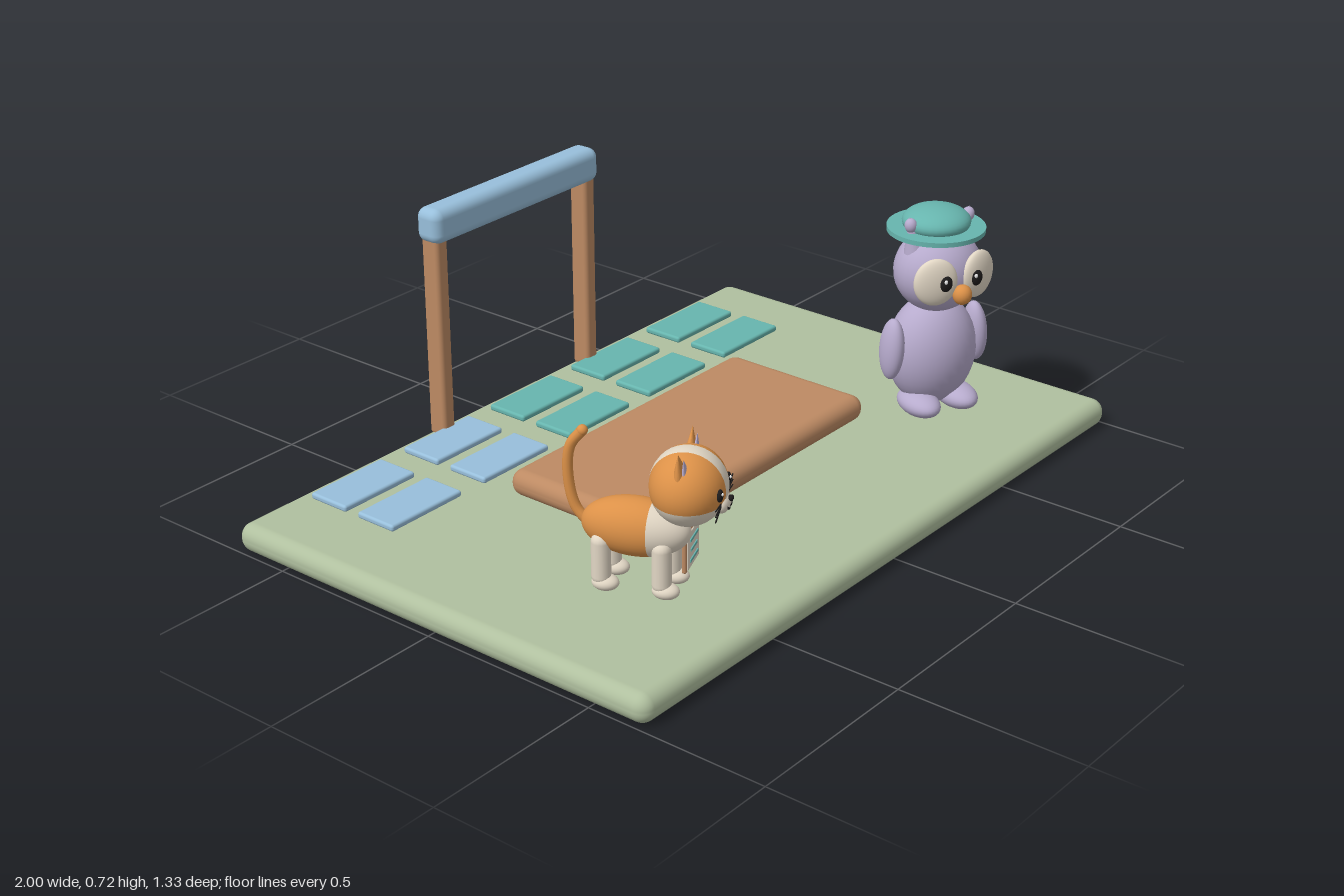
import * as THREE from 'three';
import { RoundedBoxGeometry } from 'three/addons/geometries/RoundedBoxGeometry.js';

const mat = (name, color) => {
  const m = new THREE.MeshStandardMaterial({ color });
  m.name = name;
  return m;
};

export function createModel() {
  const sage = mat('sage', 0xb0c09f), wood = mat('wood', 0xbd8a63), blue = mat('blue', 0x98bfdb),
    teal = mat('teal', 0x67b5ae), lavender = mat('lavender', 0xb7abcd), cream = mat('cream', 0xe2d7c5),
    orange = mat('orange', 0xdc9148), black = mat('black', 0x1e1c1c), white = mat('white', 0xffffff);
  const model = new THREE.Group();
  model.name = 'playStage';

  const add = (parent, name, geo, material, x, y, z) => {
    const mesh = new THREE.Mesh(geo, material);
    mesh.name = name;
    mesh.position.set(x, y, z);
    parent.add(mesh);
    return mesh;
  };
  const box = (parent, name, material, [w, h, d], r, x, y, z) =>
    add(parent, name, new RoundedBoxGeometry(w, h, d, 4, r), material, x, y, z);
  const ball = (parent, name, material, [rx, ry, rz], x, y, z) =>
    add(parent, name, new THREE.SphereGeometry(1, 32, 20).scale(rx, ry, rz), material, x, y, z);
  // Slice of an ellipsoid between two polar angles, in degrees, along a chosen axis
  const slice = (parent, name, material, [rx, ry, rz], from, to, axis, x, y, z) => {
    const rad = Math.PI / 180;
    const geo = new THREE.SphereGeometry(1, 36, 16, 0, Math.PI * 2, from * rad, (to - from) * rad);
    if (axis === 'z') geo.rotateX(Math.PI / 2);
    if (axis === 'x') geo.rotateZ(-Math.PI / 2);
    return add(parent, name, geo.scale(rx, ry, rz), material, x, y, z);
  };

  // Ground, platform and gate
  box(model, 'base', sage, [2, 0.078, 1.33], 0.036, 0, 0.039, 0);
  box(model, 'platform', wood, [0.935, 0.072, 0.455], 0.034, 0, 0.119, -0.003);
  for (const s of [-1, 1])
    box(model, 'gatePost', wood, [0.043, 0.58, 0.058], 0.012, s * 0.292, 0.36, -0.626);
  box(model, 'gateBeam', blue, [0.645, 0.096, 0.082], 0.027, 0, 0.672, -0.626);

  // Two rows of floor tiles
  for (let i = 0; i < 5; i++)
    for (const z of [-0.548, -0.382])
      box(model, 'floorTile', i < 2 ? blue : teal, [0.25, 0.018, 0.124], 0.007, (i - 2) * 0.333, 0.089, z);

  model.add(makeCat(), makeOwl());
  return model;

  function makeCat() {
    const cat = new THREE.Group();
    cat.name = 'cat';
    cat.position.set(-0.625, 0, 0.33);
    cat.rotation.y = 0.38;

    // Body with pale chest and band
    const size = [0.066, 0.074, 0.135];
    slice(cat, 'chest', cream, size, 0, 72, 'z', 0, 0.25, 0);
    slice(cat, 'rump', orange, size, 72, 180, 'z', 0, 0.25, 0);

    // Legs and paws
    for (const x of [-0.04, 0.04])
      for (const z of [-0.075, 0.075]) {
        add(cat, 'leg', new THREE.CapsuleGeometry(0.024, 0.09, 6, 16), cream, x, 0.172, z);
        ball(cat, 'paw', cream, [0.027, 0.02, 0.034], x, 0.11, z + 0.01);
      }

    // Curved tail
    const path = new THREE.CatmullRomCurve3([[0, 0.235, -0.11], [0, 0.28, -0.15], [0, 0.37, -0.168],
      [0, 0.44, -0.16], [0, 0.482, -0.13]].map(p => new THREE.Vector3(...p)));
    add(cat, 'tail', new THREE.TubeGeometry(path, 24, 0.013, 12), orange, 0, 0, 0);
    ball(cat, 'tailTip', orange, [0.0135, 0.0135, 0.0135], 0, 0.482, -0.13);

    // Head
    const head = new THREE.Group();
    head.name = 'catHead';
    head.position.set(0.006, 0.374, 0.128);
    head.rotation.y = 0.08;
    cat.add(head);
    const r = [0.106, 0.095, 0.093];
    slice(head, 'crown', orange, r, 0, 108, 'y', 0, 0, 0);
    slice(head, 'jaw', cream, r, 108, 180, 'y', 0, 0, 0);
    slice(head, 'blaze', cream, r.map(v => v * 1.012), 79, 101, 'x', 0, 0, 0);
    ball(head, 'muzzle', cream, [0.038, 0.024, 0.02], 0, -0.035, 0.08);
    ball(head, 'nose', black, [0.01, 0.007, 0.007], 0, -0.022, 0.1);
    for (const s of [-1, 1]) {
      const ear = new THREE.Group();
      ear.name = 'catEar';
      ear.position.set(s * 0.068, 0.08, -0.008);
      ear.rotation.z = -s * 0.3;
      head.add(ear);
      add(ear, 'outerEar', new THREE.ConeGeometry(0.036, 0.075, 20).scale(1, 1, 0.5), orange, 0, 0, 0);
      add(ear, 'innerEar', new THREE.ConeGeometry(0.024, 0.052, 20).scale(1, 1, 0.4), lavender, 0, -0.004, 0.012);
      ball(head, 'catEye', black, [0.013, 0.016, 0.008], s * 0.046, 0.004, 0.083);
      ball(head, 'eyeGlint', white, [0.004, 0.004, 0.003], s * 0.046 - 0.004, 0.01, 0.09);
      // Mouth and whiskers
      const mouth = add(head, 'mouth', new THREE.TorusGeometry(0.011, 0.0022, 6, 14, Math.PI), black, s * 0.011, -0.034, 0.098);
      mouth.rotation.z = Math.PI;
      for (const k of [-1, 0, 1]) {
        const whisker = add(head, 'whisker', new THREE.CylinderGeometry(0.0018, 0.0018, 0.06, 6), black,
          s * 0.068, -0.025 + k * 0.009, 0.084);
        whisker.rotation.z = Math.PI / 2 + s * k * 0.18;
      }
    }

    // Card with lines
    const card = new THREE.Group();
    card.name = 'card';
    card.position.set(0.073, 0.178, 0.11);
    cat.add(card);
    box(card, 'cardBack', wood, [0.102, 0.107, 0.012], 0.005, 0, 0, 0);
    box(card, 'cardFace', cream, [0.09, 0.094, 0.006], 0.002, 0, 0, 0.006);
    [0.027, 0, -0.027].forEach((y, i) =>
      box(card, 'cardLine', teal, [i === 1 ? 0.05 : 0.062, 0.008, 0.004], 0.001, 0, y, 0.01));
    return cat;
  }

  function makeOwl() {
    const owl = new THREE.Group();
    owl.name = 'owl';
    owl.position.set(0.645, 0, 0.31);
    owl.rotation.y = -0.4;

    // Body, head and limbs
    ball(owl, 'owlBody', lavender, [0.128, 0.157, 0.104], 0, 0.257, 0);
    ball(owl, 'owlHead', lavender, [0.122, 0.115, 0.11], 0, 0.495, 0.015);
    for (const s of [-1, 1]) {
      const wing = ball(owl, 'wing', lavender, [0.03, 0.087, 0.042], s * 0.133, 0.285, 0.01);
      wing.rotation.z = s * 0.06;
      ball(owl, 'foot', lavender, [0.05, 0.034, 0.078], s * 0.06, 0.123, 0.04);
      const tuft = add(owl, 'earTuft', new THREE.ConeGeometry(0.03, 0.1, 20), lavender, s * 0.085, 0.608, 0.015);
      tuft.rotation.z = -s * 0.2;
      ball(tuft, 'tuftTip', lavender, [0.017, 0.02, 0.017], 0, 0.026, 0);
      // Eyes
      const disc = ball(owl, 'eyeDisc', cream, [0.06, 0.066, 0.022], s * 0.066, 0.5, 0.105);
      disc.rotation.y = s * 0.3;
      ball(owl, 'pupil', black, [0.019, 0.023, 0.011], s * 0.047, 0.5, 0.127);
      ball(owl, 'pupilGlint', white, [0.005, 0.006, 0.004], s * 0.047 - 0.006, 0.508, 0.136);
    }
    const beak = add(owl, 'beak', new THREE.SphereGeometry(1, 20, 14).scale(0.026, 0.028, 0.026), orange, 0, 0.463, 0.135);
    beak.rotation.x = 0.2;

    // Brimmed hat
    add(owl, 'hatBrim', new THREE.CylinderGeometry(0.132, 0.132, 0.013, 48), teal, 0, 0.607, 0);
    ball(owl, 'hatCrown', teal, [0.092, 0.042, 0.092], 0, 0.627, 0);
    return owl;
  }
}
